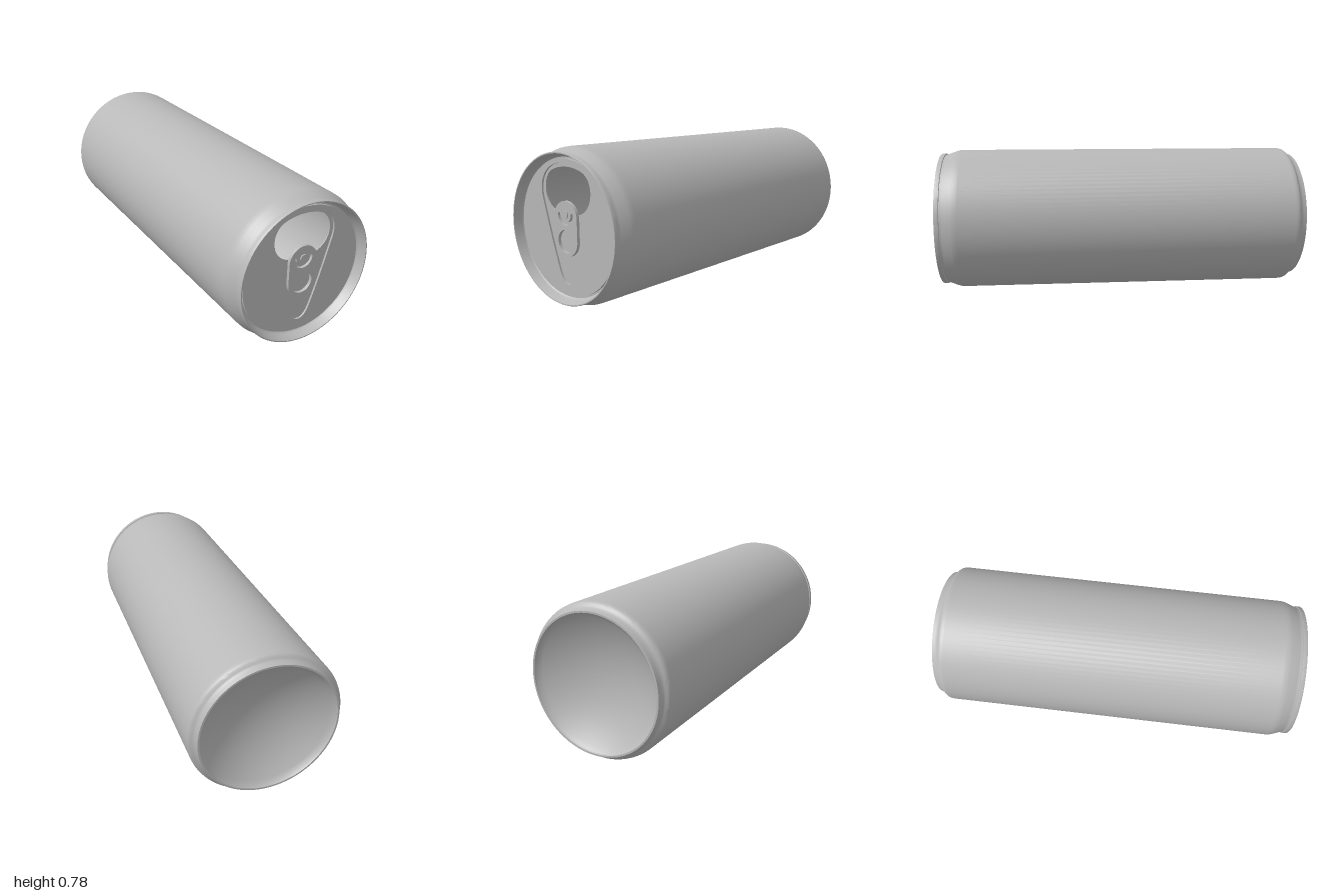
import * as THREE from 'three';
import { toCreasedNormals } from 'three/addons/utils/BufferGeometryUtils.js';

const R = 0.388; // can radius, also the height of its axis
const FLOOR = 0.95, PANEL = 0.96; // z of the recess floor and of the lid face

// Spherical dome of the base, from the axis to its edge
function dome(edgeR, edgeZ, depth, steps = 14) {
  const s = (edgeR * edgeR + depth * depth) / (2 * depth);
  const pts = [];
  for (let i = 0; i <= steps; i++) {
    const r = (edgeR * i) / steps;
    pts.push([r, edgeZ + depth - s + Math.sqrt(s * s - r * r)]);
  }
  return pts;
}

// Lathe of [radius, z] points around the can's axis
function turned(points, name, material) {
  const g = new THREE.LatheGeometry(points.map(([r, z]) => new THREE.Vector2(r, z)), 96);
  const mesh = new THREE.Mesh(toCreasedNormals(g, 0.6), material);
  mesh.name = name;
  mesh.rotation.x = Math.PI / 2;
  mesh.position.y = R;
  return mesh;
}

// Flat plate with holes, between two z levels
function plate(shape, holes, z0, z1, name, material) {
  shape.holes.push(...holes);
  const g = new THREE.ExtrudeGeometry(shape, { depth: z1 - z0, bevelEnabled: false, curveSegments: 48 });
  const mesh = new THREE.Mesh(toCreasedNormals(g, 0.6), material);
  mesh.name = name;
  mesh.position.z = z0;
  return mesh;
}

// Outline from bezier segments of its +x half, mirrored to -x
function mirroredOutline(startY, segments) {
  const half = new THREE.Path().moveTo(0, startY);
  segments.forEach((s) => half.bezierCurveTo(...s));
  const right = half.getPoints(14);
  const left = right.slice(1, -1).reverse().map((p) => new THREE.Vector2(-p.x, p.y));
  return new THREE.Path([...right, ...left]);
}

const disc = (r, y) => new THREE.Shape().absarc(0, y, r, 0, Math.PI * 2, false);

export function createModel() {
  const group = new THREE.Group();
  group.name = 'drinkCan';
  const metal = new THREE.MeshStandardMaterial({ color: 0xb8b8b8 });
  metal.name = 'grey metal';

  // Outer skin: domed base, foot ring, wall, shoulder, seam rim and lid groove
  group.add(turned([
    ...dome(0.341, -0.99, 0.11),
    [0.345, -1], [0.354, -1], [0.358, -0.985], [0.362, -0.972], [0.369, -0.965],
    [0.378, -0.96], [0.384, -0.952], [0.387, -0.942], [R, -0.93],
    [R, 0.88], [0.387, 0.9], [0.383, 0.915], [0.367, 0.958], [0.362, 0.97], [0.362, 0.975],
    [0.368, 0.977], [0.368, 0.997], [0.366, 1], [0.361, 1],
    [0.356, 0.985], [0.349, 0.958], [0.346, 0.95], [0.341, 0.946], [0.333, 0.946],
  ], 'canBody', metal));

  // Inner skin, seen through the mouth
  group.add(turned([
    [0.333, 0.944], [0.36, 0.94], [0.382, 0.89], [0.382, 0.87],
    [0.382, -0.92], [0.378, -0.945], [0.341, -0.98],
    ...dome(0.335, -0.984, 0.11).reverse(),
  ], 'canInterior', metal));

  // Lid face with a teardrop recess
  const teardrop = mirroredOutline(0.112, [
    [0.035, 0.112, 0.053, 0.152, 0.068, 0.195],
    [0.11, 0.31, 0.142, 0.42, 0.172, 0.52],
    [0.189, 0.575, 0.172, 0.635, 0.125, 0.668],
    [0.09, 0.694, 0.045, 0.703, 0, 0.703],
  ]);
  group.add(plate(disc(0.333, R), [teardrop], FLOOR, PANEL, 'lidPanel', metal));

  // Recess floor with the open mouth
  const mouth = mirroredOutline(0.49, [
    [0.03, 0.49, 0.05, 0.453, 0.08, 0.461],
    [0.13, 0.475, 0.16, 0.52, 0.16, 0.57],
    [0.16, 0.61, 0.14, 0.648, 0.105, 0.662],
    [0.07, 0.677, 0.03, 0.682, 0, 0.682],
  ]);
  group.add(plate(disc(0.333, R), [mouth], 0.944, FLOOR, 'lidRecessFloor', metal));

  // Pull tab with finger hole and curved slot around the rivet
  const rivetY = 0.457;
  const tab = new THREE.Shape()
    .absarc(0, 0.442, 0.079, 0, Math.PI, false)
    .absarc(0, 0.33, 0.079, Math.PI, Math.PI * 2, false);
  const slot = new THREE.Path()
    .absarc(0, rivetY, 0.053, Math.PI, Math.PI * 2, false)
    .absarc(0.0455, rivetY, 0.0075, 0, Math.PI, false)
    .absarc(0, rivetY, 0.038, Math.PI * 2, Math.PI, true)
    .absarc(-0.0455, rivetY, 0.0075, 0, Math.PI, false);
  group.add(plate(tab, [disc(0.057, 0.325), slot], FLOOR + 0.001, 0.967, 'pullTab', metal));

  // Rivet
  group.add(plate(disc(0.02, rivetY), [], FLOOR, 0.973, 'rivet', metal));

  return group;
}
